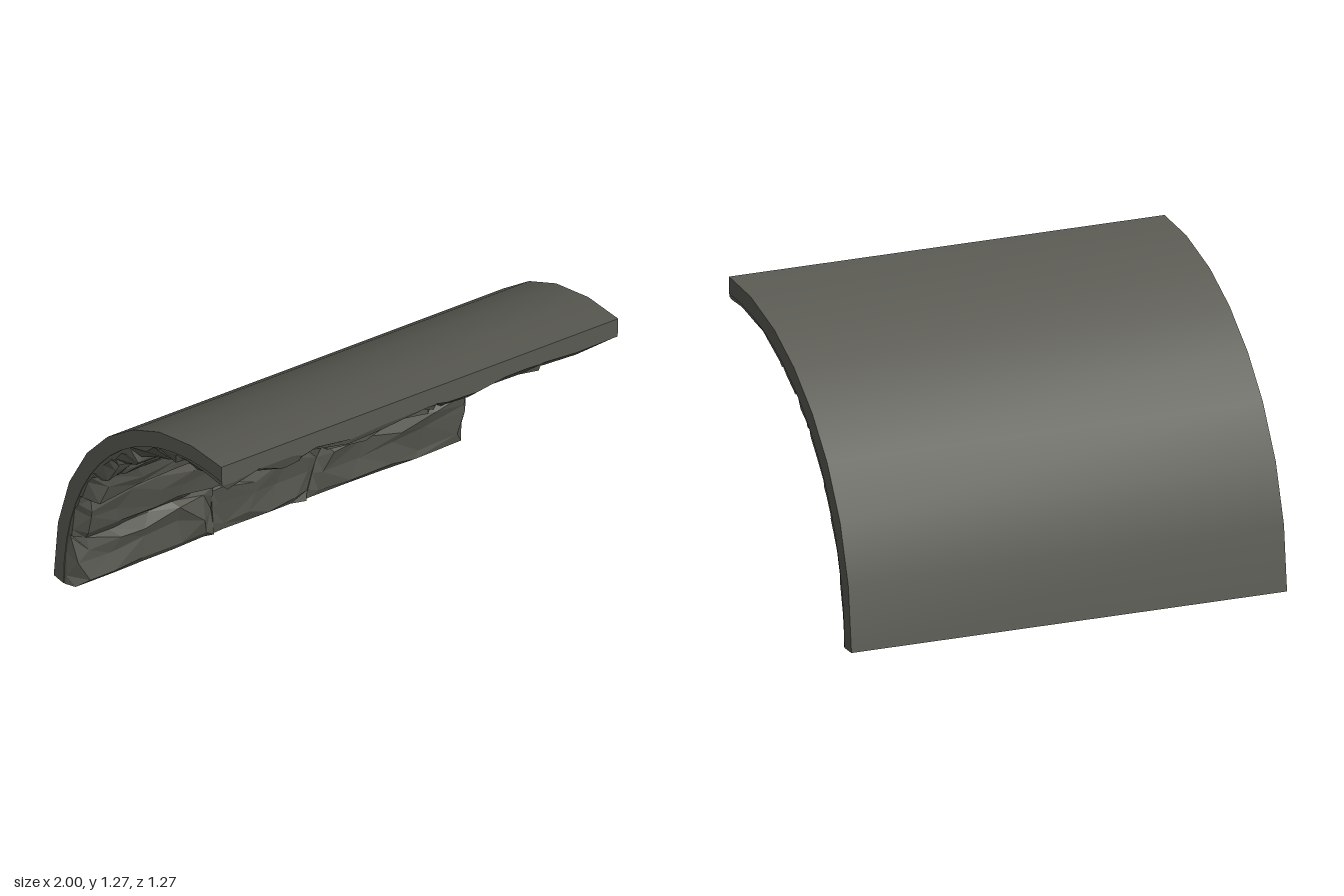
import * as THREE from 'three';
import { toCreasedNormals } from 'three/addons/utils/BufferGeometryUtils.js';

const CENTRE_Z = 0.637; // axis of the quarter arch lies on y = 0
const BACK_R = 1.21, SHELL_R = 1.2, TOP = Math.PI / 2;

// Courses of stone: start angle, then the joints along x
const courses = [
  [0, [-1, -0.29, 0.22, 1]],
  [0.24, [-1, -0.09, 0.2, 0.78, 1]],
  [0.45, [-1, -0.35, 0.25, 0.73, 1]],
  [0.6, [-1, -0.87, 0.05, 0.56, 1]],
  [0.8, [-1, -0.35, 0.08, 0.62, 1]],
  [0.95, [-1, -0.8, -0.33, -0.06, 0.4, 1]],
  [1.12, [-1, -0.48, -0.05, 0.55, 1]],
  [1.31, [-1, -0.6, 0.07, 0.58, 1]],
];

function seeded(seed) {
  let s = seed;
  return () => {
    s = (s * 16807) % 2147483647;
    return s / 2147483647;
  };
}

// Wavy bed line between courses, straight at the foot and the top lip
function bedAngle(k, x) {
  if (k === 0) return 0;
  if (k === courses.length) return TOP;
  return courses[k][0] + 0.018 * Math.sin(x * 4.5 + k * 2.1) + 0.01 * Math.sin(x * 11 + k);
}

function jointX(k, joint, v) {
  if (Math.abs(joint) === 1) return joint * 0.997;
  return joint + 0.07 * Math.sin(k * 3 + joint * 9) * (v - 0.5);
}

// One chipped stone: buried skirt, rim, and an uneven raised face
function stoneGeometry(k, x0, x1, rand) {
  const jitter = (amount) => (rand() - 0.5) * 2 * amount;
  const width = x1 - x0;
  const inset = Math.min(0.25, 0.045 / width);
  const count = Math.max(1, Math.round(width / 0.2));
  const us = [0, 0];
  for (let i = 0; i <= count; i++) us.push(inset + (1 - 2 * inset) * i / count);
  us.push(1, 1);
  const vs = [0, 0, 0.14, 0.55, 0.86, 1, 1];
  const proud = 1.134 + jitter(0.012), tilt = jitter(0.016);
  const nu = us.length, nv = vs.length;
  const points = [];
  for (let j = 0; j < nv; j++) {
    for (let i = 0; i < nu; i++) {
      const skirt = i === 0 || j === 0 || i === nu - 1 || j === nv - 1;
      const sideRim = i <= 1 || i >= nu - 2;
      const bedRim = j <= 1 || j >= nv - 2;
      let u = us[i], v = vs[j];
      if (!sideRim) u += jitter(Math.min(0.06, inset * 0.7));
      if (!bedRim) v += jitter(0.11);
      const x = THREE.MathUtils.lerp(jointX(k, x0, v), jointX(k, x1, v), u);
      const a = THREE.MathUtils.lerp(bedAngle(k, x), bedAngle(k + 1, x), v);
      let r = proud + tilt * (v - 0.5) * 2 + jitter(0.014);
      if (sideRim || bedRim) r = 1.157 + jitter(0.012);
      if (sideRim && Math.abs(x) > 0.99) r = 1.187 + jitter(0.012);
      if (k === 7 && j >= nv - 2) r = 1.182 + jitter(0.014);
      if (skirt) r = BACK_R;
      points.push([x, r * Math.sin(a), CENTRE_Z - r * Math.cos(a)]);
    }
  }
  const position = [];
  const tri = (...ids) => ids.forEach((id) => position.push(...points[id]));
  for (let j = 0; j < nv - 1; j++) {
    for (let i = 0; i < nu - 1; i++) {
      const a = j * nu + i, b = a + 1, c = b + nu, d = a + nu;
      if (rand() < 0.5) {
        tri(a, b, c);
        tri(a, c, d);
      } else {
        tri(a, b, d);
        tri(b, c, d);
      }
    }
  }
  const geometry = new THREE.BufferGeometry();
  geometry.setAttribute('position', new THREE.Float32BufferAttribute(position, 3));
  geometry.computeVertexNormals(); // unshared corners give flat facets
  return geometry;
}

// Smooth curved backing, its section extruded along x
function shellGeometry() {
  const outer = [
    [0.637, 0], [0.605, 0.285], [0.52, 0.54], [0.385, 0.765], [0.23, 0.935],
    [0.04, 1.08], [-0.165, 1.185], [-0.41, 1.255], [-0.637, 1.275],
  ];
  const inner = [];
  for (let i = 0; i <= 16; i++) {
    const a = TOP * (1 - i / 16);
    inner.push([SHELL_R * Math.cos(a) - CENTRE_Z, SHELL_R * Math.sin(a)]);
  }
  const shape = new THREE.Shape([...outer, ...inner].map(([x, y]) => new THREE.Vector2(x, y)));
  const geometry = new THREE.ExtrudeGeometry(shape, { depth: 2, bevelEnabled: false });
  geometry.rotateY(Math.PI / 2).translate(-1, 0, 0);
  return toCreasedNormals(geometry, 0.5);
}

export function createModel() {
  const model = new THREE.Group();
  model.name = 'curvedRockWall';
  const rock = new THREE.MeshStandardMaterial({ color: 0x5a5a53 });
  rock.name = 'dark grey rock';

  const shell = new THREE.Mesh(shellGeometry(), rock);
  shell.name = 'curvedBacking';
  model.add(shell);

  // Stone facing on the hollow side
  const rand = seeded(4217);
  courses.forEach(([, joints], k) => {
    const course = new THREE.Group();
    course.name = `stoneCourse${k + 1}`;
    for (let i = 0; i < joints.length - 1; i++) {
      const stone = new THREE.Mesh(stoneGeometry(k, joints[i], joints[i + 1], rand), rock);
      stone.name = `stone${i + 1}`;
      course.add(stone);
    }
    model.add(course);
  });
  return model;
}
